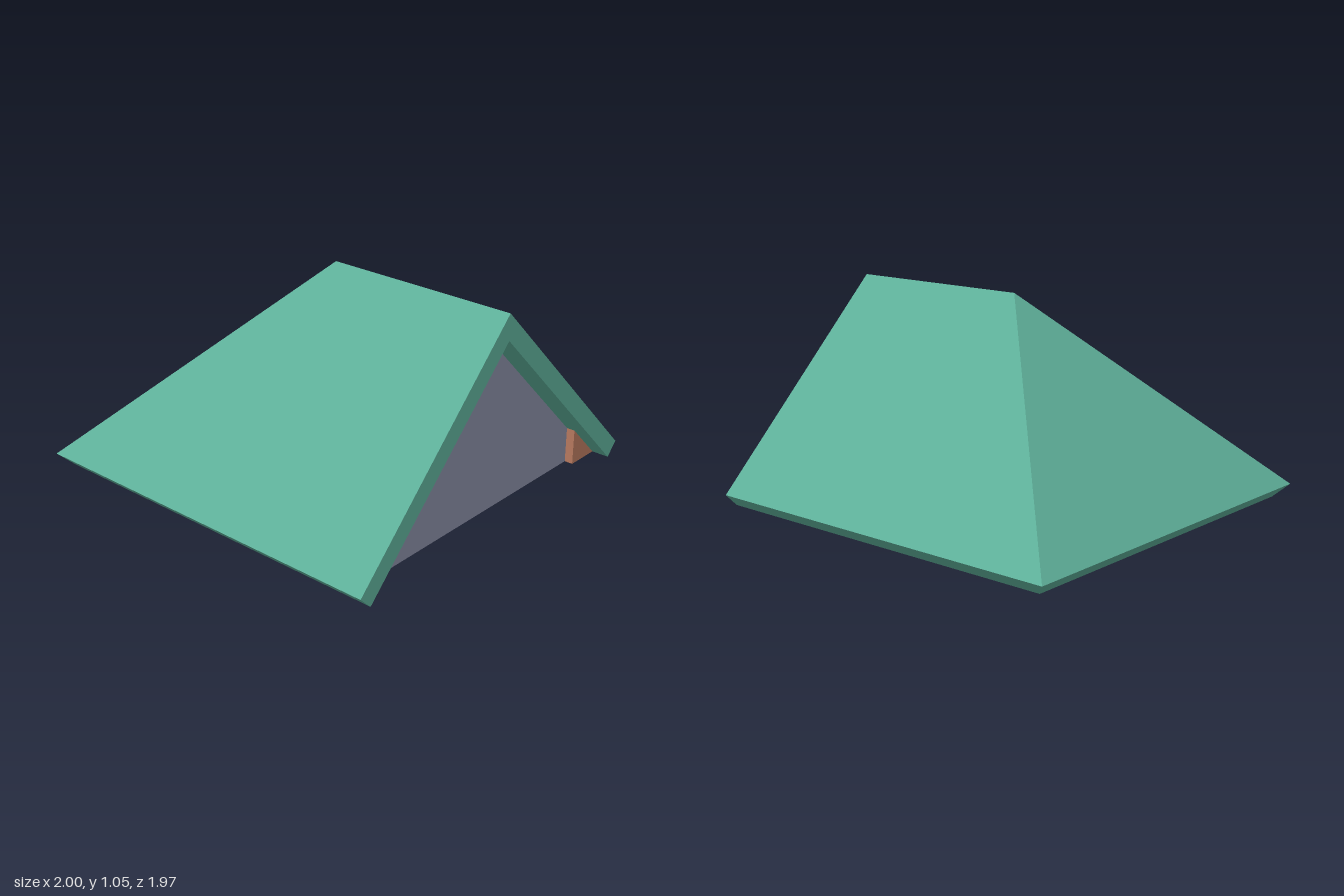
import * as THREE from 'three';

export function createModel() {
  const model = new THREE.Group();
  model.name = 'hippedGableRoof';

  const mat = (name, color) => new THREE.MeshStandardMaterial({ name, color });
  const green = mat('roofGreen', 0x5dae98);
  const grey = mat('wallGrey', 0x868aa2);
  const brown = mat('timberBrown', 0xb5785e);

  // Key dimensions; every slope is 45 degrees
  const eaveZ = 0.985, eaveY = 0.065;      // outer lip of the eaves
  const inner = eaveZ - eaveY;             // foot of the eaves, also height of the inner apex
  const ridgeY = eaveY + eaveZ;
  const endX = 1, hipX = -1, footX = hipX + eaveY, apexX = hipX + eaveZ;
  const wallX = 0.866, postX = 0.91, postZ = 0.735;

  // One mesh from convex flat faces, each listed counter-clockwise from outside
  function part(name, material, faces) {
    const positions = [];
    for (const f of faces)
      for (let i = 1; i < f.length - 1; i++) positions.push(...f[0], ...f[i], ...f[i + 1]);
    const g = new THREE.BufferGeometry();
    g.setAttribute('position', new THREE.Float32BufferAttribute(positions, 3));
    g.computeVertexNormals();
    const mesh = new THREE.Mesh(g, material);
    mesh.name = name;
    model.add(mesh);
  }

  // Adds the same faces reflected across z = 0
  const mirrored = (faces) => [
    ...faces,
    ...faces.map((f) => f.map(([x, y, z]) => [x, y, -z]).reverse()),
  ];

  // Long slopes
  part('mainSlopes', green, mirrored([
    [[hipX, eaveY, eaveZ], [endX, eaveY, eaveZ], [endX, ridgeY, 0], [apexX, ridgeY, 0]],
  ]));

  // Triangular hip end
  part('hipSlope', green, [
    [[hipX, eaveY, -eaveZ], [hipX, eaveY, eaveZ], [apexX, ridgeY, 0]],
  ]);

  // Slanted edges below the eaves
  part('eaveEdges', green, [
    ...mirrored([
      [[footX, 0, inner], [endX, 0, inner], [endX, eaveY, eaveZ], [hipX, eaveY, eaveZ]],
    ]),
    [[footX, 0, -inner], [footX, 0, inner], [hipX, eaveY, eaveZ], [hipX, eaveY, -eaveZ]],
  ]);

  // Cut end of the roof slab and the underside of its overhang
  part('gableEdge', green, mirrored([
    [[endX, 0, inner], [endX, inner, 0], [endX, ridgeY, 0], [endX, eaveY, eaveZ]],
  ]));
  part('overhangUnderside', green, mirrored([
    [[endX, 0, inner], [wallX, 0, inner], [wallX, inner, 0], [endX, inner, 0]],
  ]));

  // Recessed gable wall
  part('gableWall', grey, [
    [[wallX, 0, inner], [wallX, 0, -inner], [wallX, inner, 0]],
  ]);

  // Timber corner blocks standing proud of the wall
  const postTop = inner - postZ;
  part('cornerBlocks', brown, mirrored([
    [[postX, 0, inner], [postX, 0, postZ], [postX, postTop, postZ]],
    [[postX, 0, postZ], [wallX, 0, postZ], [wallX, postTop, postZ], [postX, postTop, postZ]],
  ]));

  // Flat base, with tabs under the corner blocks
  part('base', grey, [
    [[footX, 0, -inner], [wallX, 0, -inner], [wallX, 0, inner], [footX, 0, inner]],
    ...mirrored([
      [[wallX, 0, postZ], [postX, 0, postZ], [postX, 0, inner], [wallX, 0, inner]],
    ]),
  ]);

  return model;
}
